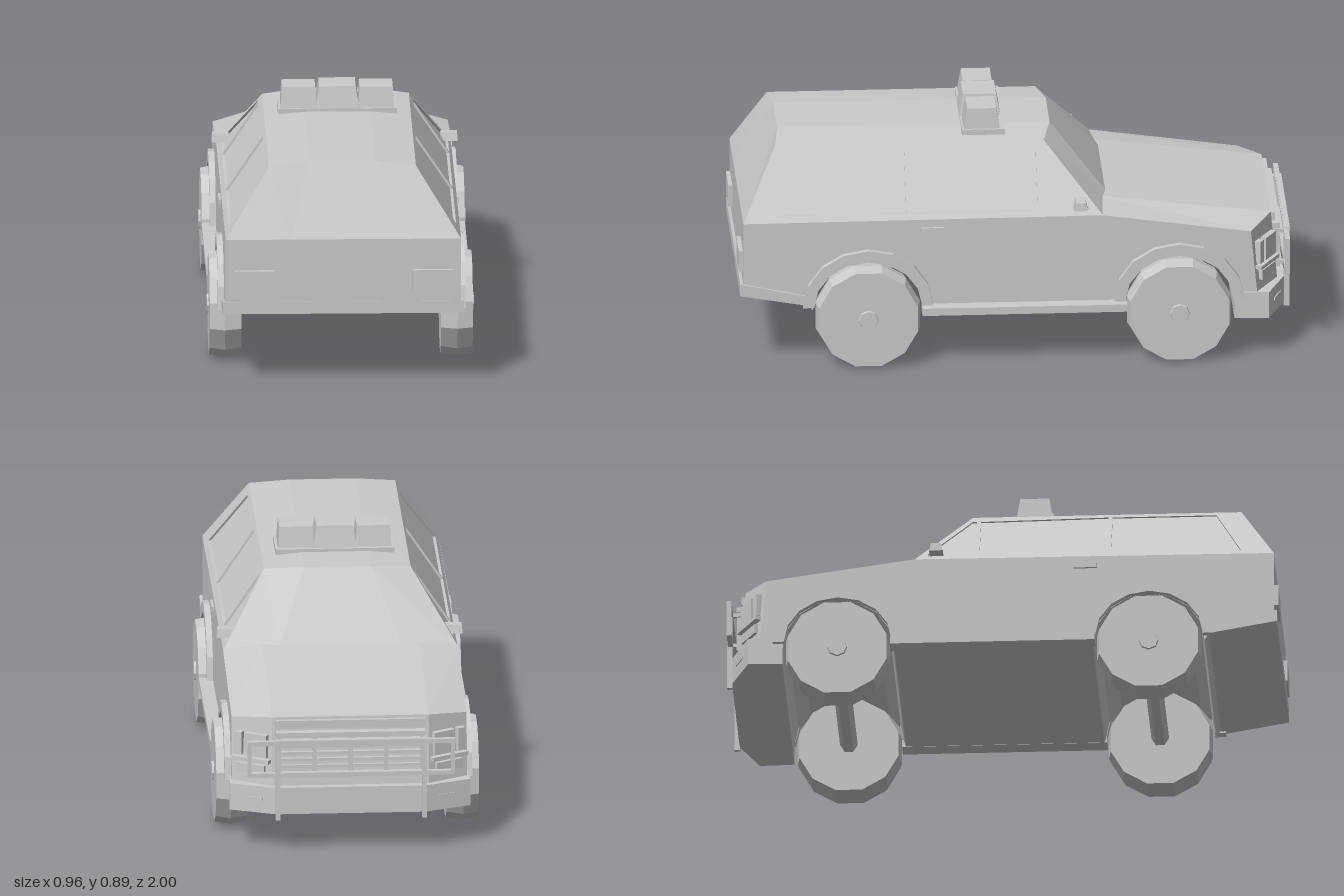
import * as THREE from 'three';

const material = new THREE.MeshStandardMaterial({ color: 0xcccccc, flatShading: true, side: THREE.DoubleSide });

const toShape = (pts) => new THREE.Shape(pts.map(([a, b]) => new THREE.Vector2(a, b)));

// Side outline in (z, y), extruded across x from x0 to x1
function sideExtrude(outline, x0, x1, holes = [], steps = 1) {
  const shape = toShape(outline);
  holes.forEach((h) => shape.holes.push(toShape(h)));
  const geo = new THREE.ExtrudeGeometry(shape, { depth: x1 - x0, bevelEnabled: false, steps });
  return geo.rotateY(-Math.PI / 2).translate(x1, 0, 0);
}

// Move every vertex by a rule
function warp(geo, rule) {
  const p = geo.attributes.position;
  const v = new THREE.Vector3();
  for (let i = 0; i < p.count; i++) {
    rule(v.fromBufferAttribute(p, i));
    p.setXYZ(i, v.x, v.y, v.z);
  }
  geo.computeVertexNormals();
  return geo;
}

// Mirrored copy in x with the winding kept outward
function mirrorX(geo) {
  const g = geo.index ? geo.toNonIndexed() : geo.clone();
  const p = g.attributes.position;
  const src = p.array.slice();
  for (let i = 0; i < p.count; i++) {
    const j = i - (i % 3) + (2 - (i % 3));
    p.setXYZ(i, -src[j * 3], src[j * 3 + 1], src[j * 3 + 2]);
  }
  g.computeVertexNormals();
  return g;
}

// Half-ellipse of points over a wheel
const arc = (zc, y, a, b, n = 8) => Array.from({ length: n + 1 }, (_, i) => {
  const t = (i / n) * Math.PI;
  return [zc + a * Math.cos(t), y + b * Math.sin(t)];
});

const box = (w, h, d, x, y, z) => new THREE.BoxGeometry(w, h, d).translate(x, y, z);

// Box that narrows to the given width and depth at its top
function taperBox(w, h, d, topW, topD, x, y, z) {
  return warp(new THREE.BoxGeometry(w, h, d), (v) => {
    if (v.y > 0) { v.x *= topW / w; v.z *= topD / d; }
  }).translate(x, y, z);
}

export function createModel() {
  const car = new THREE.Group();
  car.name = 'offRoadCar';
  const add = (name, geo) => {
    const mesh = new THREE.Mesh(geo, material);
    mesh.name = name;
    car.add(mesh);
  };
  const addPair = (name, geo) => {
    add(name + 'Left', geo);
    add(name + 'Right', mirrorX(geo));
  };
  const wheelZ = [0.535, -0.59];

  // Lower body with wheel arches, crowned hood and swept-back nose corners
  const outline = [
    [0.985, 0.55], [0.985, 0.28], [0.75, 0.235],
    ...arc(wheelZ[0], 0.21, 0.2, 0.19),
    [0.33, 0.2], [-0.385, 0.2],
    ...arc(wheelZ[1], 0.21, 0.2, 0.19),
    [-0.8, 0.2], [-0.955, 0.22], [-0.93, 0.48], [-0.315, 0.555],
  ];
  add('lowerBody', warp(sideExtrude(outline, -0.425, 0.425, [], 6), (v) => {
    const outer = Math.abs(v.x) > 0.3;
    if (v.z < -0.85 && outer) v.z += 0.08;
    if (v.z < -0.3 && v.y > 0.45 && !outer) v.y += 0.02;
  }));

  // Tailgate window, roof and windscreen as one lofted skin
  const stations = [
    { x: [0.425, 0.19], y: [0.55, 0.55], z: [0.985, 0.985] },
    { x: [0.265, 0.12], y: [0.79, 0.805], z: [0.86, 0.845] },
    { x: [0.265, 0.12], y: [0.79, 0.803], z: [-0.11, -0.14] },
    { x: [0.418, 0.22], y: [0.555, 0.574], z: [-0.315, -0.335] },
  ];
  const pos = [];
  const idx = [];
  stations.forEach(({ x, y, z }, i) => {
    pos.push(-x[0], y[0], z[0], -x[1], y[1], z[1], x[1], y[1], z[1], x[0], y[0], z[0]);
    for (let j = 0; i < 3 && j < 3; j++) {
      const a = i * 4 + j;
      idx.push(a, a + 1, a + 4, a + 1, a + 5, a + 4);
    }
  });
  const skin = new THREE.BufferGeometry();
  skin.setAttribute('position', new THREE.Float32BufferAttribute(pos, 3));
  skin.setIndex(idx);
  skin.computeVertexNormals();
  add('roofAndScreens', skin);

  // Leaning cabin sides with window openings and glass set behind
  const lean = (v) => { v.x += 0.425 - (v.y - 0.55) * 0.667; };
  const cabin = [[0.985, 0.55], [0.86, 0.79], [-0.11, 0.79], [-0.315, 0.555]];
  const windows = [
    [[0.865, 0.572], [0.77, 0.775], [0.395, 0.775], [0.395, 0.572]],
    [[0.38, 0.572], [0.38, 0.775], [-0.08, 0.765], [-0.08, 0.572]],
    [[-0.095, 0.572], [-0.095, 0.765], [-0.11, 0.765], [-0.265, 0.585], [-0.265, 0.572]],
  ];
  addPair('cabinSide', warp(sideExtrude(cabin, -0.012, 0, windows), lean));
  addPair('sideGlass', warp(sideExtrude(cabin, -0.016, -0.01), lean));

  // Wheel flares, wheels, hubs and axles
  const tyre = [[0, 0], [0.185, 0], [0.195, 0.06], [0.185, 0.115], [0, 0.115]]
    .map(([r, h]) => new THREE.Vector2(r, h));
  wheelZ.forEach((z, i) => {
    const end = i ? 'front' : 'rear';
    const flare = [...arc(z, 0.228, 0.235, 0.215), ...arc(z, 0.228, 0.195, 0.172).reverse()];
    addPair(end + 'Flare', sideExtrude(flare, 0.41, 0.447));
    addPair(end + 'Wheel', new THREE.LatheGeometry(tyre, 12)
      .rotateZ(-Math.PI / 2).rotateX(Math.PI / 12).translate(0.36, 0.1885, z));
    addPair(end + 'Hub', new THREE.CylinderGeometry(0.034, 0.038, 0.012, 8)
      .rotateZ(-Math.PI / 2).translate(0.476, 0.1885, z));
    add(end + 'Axle', new THREE.CylinderGeometry(0.032, 0.032, 0.74, 6)
      .rotateZ(Math.PI / 2).translate(0, 0.1885, z));
  });

  // Running boards, mirrors and door handles
  addPair('runningBoard', box(0.065, 0.028, 0.74, 0.4425, 0.213, -0.03));
  addPair('mirror', taperBox(0.065, 0.03, 0.05, 0.06, 0.035, 0.412, 0.595, -0.235));
  addPair('doorHandle', box(0.014, 0.018, 0.085, 0.427, 0.514, 0.303));

  // Rear bumper and tail lights
  add('rearBumper', sideExtrude([[0.997, 0.32], [0.997, 0.275], [0.755, 0.233], [0.74, 0.265]], -0.435, 0.435));
  addPair('tailLight', box(0.147, 0.08, 0.02, 0.322, 0.396, 0.99));

  // Front bumper, swept at its corners in plan
  const plan = toShape([[-0.43, 0.79], [0.43, 0.79], [0.435, 0.915], [0.27, 0.98], [-0.27, 0.98], [-0.435, 0.915]]);
  add('frontBumper', new THREE.ExtrudeGeometry(plan, { depth: 0.1, bevelEnabled: false })
    .rotateX(-Math.PI / 2).translate(0, 0.147, 0));
  addPair('bumperSlot', box(0.07, 0.012, 0.01, 0, 0, 0).rotateY(-0.375).translate(0.35, 0.2, -0.947));

  // Grille frame, slats and dividers
  [0.29, 0.44].forEach((y) => add('grilleRail', box(0.54, 0.02, 0.03, 0, y, -0.95)));
  [0.32, 0.345, 0.37, 0.395, 0.418].forEach((y) => add('grilleSlat', box(0.52, 0.01, 0.02, 0, y, -0.947)));
  [-0.26, -0.13, 0, 0.13, 0.26].forEach((x) => add('grilleDivider', box(0.014, 0.15, 0.026, x, 0.365, -0.95)));
  add('hoodLip', box(0.54, 0.03, 0.02, 0, 0.475, -0.936));

  // Headlights and indicators framed on the swept corners
  const corner = (geo) => geo.rotateY(-0.51).translate(0.352, 0.37, -0.903);
  addPair('headlight', corner(box(0.085, 0.085, 0.025, -0.02, 0.022, -0.004)));
  addPair('indicator', corner(box(0.03, 0.085, 0.025, 0.052, 0.022, -0.004)));
  addPair('lampSill', corner(box(0.15, 0.014, 0.04, 0, -0.033, -0.005)));
  addPair('lowerLamp', corner(box(0.11, 0.035, 0.02, 0, -0.068, -0.008)));

  // Bull bar
  addPair('bullBarUpright', box(0.016, 0.3, 0.02, 0.265, 0.28, -0.988));
  [0.42, 0.3].forEach((y) => add('bullBarRail', box(0.75, 0.016, 0.018, 0, y, -0.986)));
  addPair('bullBarWing', box(0.014, 0.136, 0.018, 0.368, 0.36, -0.986));
  [0.42, 0.3].forEach((y) => addPair('bullBarBracket', box(0.014, 0.014, 0.06, 0.265, y, -0.96)));
  add('bullBarTopRail', box(0.53, 0.014, 0.02, 0, 0.425, -0.99));

  // Roof light bar
  add('lightBarBase', box(0.43, 0.026, 0.155, 0, 0.802, 0.105));
  addPair('outerBeacon', taperBox(0.13, 0.076, 0.13, 0.12, 0.105, 0.14, 0.853, 0.11));
  add('centreBeacon', taperBox(0.158, 0.08, 0.15, 0.132, 0.12, 0, 0.855, 0.11));

  return car;
}
